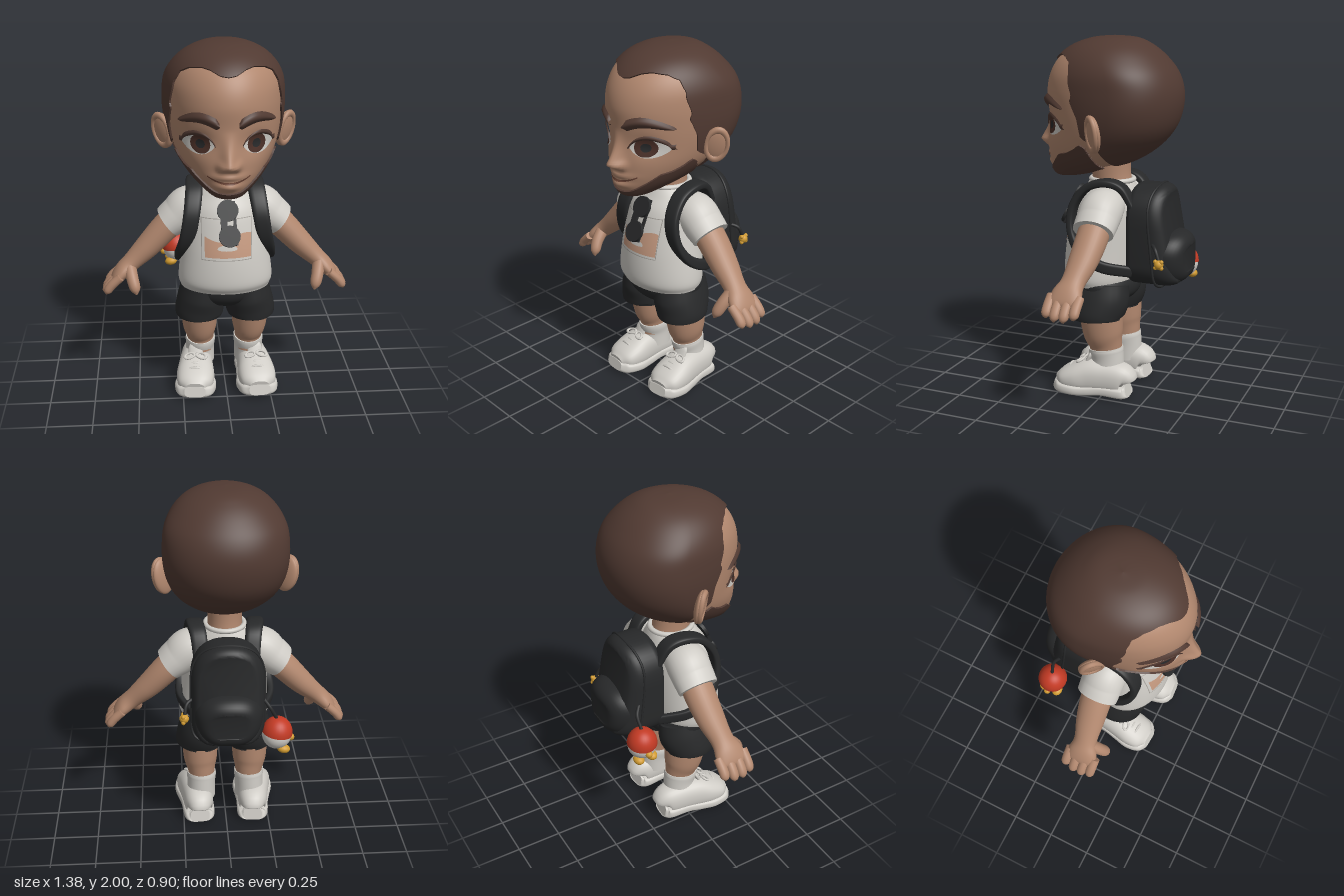
import * as THREE from 'three';
import { toCreasedNormals } from 'three/addons/utils/BufferGeometryUtils.js';

const V = (x, y, z) => new THREE.Vector3(x, y, z);
const mat = (name, color) => Object.assign(new THREE.MeshStandardMaterial({ color }), { name });
const M = {
  skin: mat('skin', 0xb1876e), hair: mat('hair', 0x513a32), white: mat('white cloth', 0xcfccc6),
  black: mat('black cloth', 0x272829), red: mat('red', 0xc23a24), gold: mat('gold', 0xd09a30),
  iris: mat('iris', 0x4a2f27), print: mat('shirt print', 0xc69a80), lip: mat('lip line', 0x6f4738), frame: mat('print frame', 0xa19d97),
};
const add = (parent, name, geo, material, x = 0, y = 0, z = 0) => {
  const m = new THREE.Mesh(geo, material);
  m.name = name;
  m.position.set(x, y, z);
  parent.add(m);
  return m;
};
const spline = pts => new THREE.CatmullRomCurve3(pts, false, 'catmullrom', 0.5);
const clamp = t => Math.min(1, Math.max(0, t));
const bell = (d, s) => Math.exp(-((d / s) ** 2));

// Piecewise linear lookup in pairs sorted by key
const lookup = (pairs, k) => {
  const i = pairs.findIndex(p => p[0] >= k);
  if (i === 0) return pairs[0][1];
  if (i < 0) return pairs[pairs.length - 1][1];
  const [a, b] = [pairs[i - 1], pairs[i]];
  return a[1] + (b[1] - a[1]) * (k - a[0]) / (b[0] - a[0]);
};

// Surface over a grid of points; closed joins the last column to the first
function grid(nu, nv, closed, point) {
  const cols = closed ? nu : nu + 1, pos = [], idx = [];
  for (let j = 0; j <= nv; j++) for (let i = 0; i < cols; i++) pos.push(...point(i, j).toArray());
  for (let j = 0; j < nv; j++) for (let i = 0; i < nu; i++) {
    const a = j * cols + i, b = j * cols + (i + 1) % cols;
    idx.push(a, b, b + cols, a, b + cols, a + cols);
  }
  const g = new THREE.BufferGeometry();
  g.setAttribute('position', new THREE.Float32BufferAttribute(pos, 3));
  g.setIndex(idx);
  g.computeVertexNormals();
  return g;
}

// Elliptical rings along a path, rows [x, y, z, radius across, radius along axis], capped
function sweep(rows, axis = V(0, 0, 1), nu = 28, pow = 1) {
  const path = spline(rows.map(r => V(r[0], r[1], r[2]))), rad = spline(rows.map(r => V(r[3], r[4], 0)));
  const n = rows.length * 6, p = c => Math.sign(c) * Math.abs(c) ** pow;
  return grid(nu, n + 4, true, (i, j) => {
    const t = clamp((j - 2) / n), c = path.getPoint(t), T = path.getTangent(t), r = rad.getPoint(t);
    if (j === 0 || j === n + 4) return c;
    const B = axis.clone().addScaledVector(T, -T.dot(axis)).normalize(), N = T.clone().cross(B);
    const a = i / nu * Math.PI * 2;
    return c.addScaledVector(B, Math.max(0, r.y) * p(Math.cos(a))).addScaledVector(N, Math.max(0, r.x) * p(Math.sin(a)));
  });
}

// Upright body from rows [y, half width, front z, back z, z of widest point]; z(x, y) gives its front
function column(rows, nu, n, bump = () => 0) {
  const A = spline(rows.map(r => V(r[0], r[1], 0))), D = spline(rows.map(r => V(r[2], r[3], r[4] ?? (r[2] + r[3]) / 2)));
  const at = (t, s, c) => {
    const a = A.getPoint(t), d = D.getPoint(t), x = Math.max(0, a.y) * s;
    return V(x, a.x, d.z + (c > 0 ? d.x - d.z + bump(x, a.x) : d.z - d.y) * c);
  };
  const geometry = grid(nu, n + 4, true, (i, j) => {
    const a = i / nu * Math.PI * 2, k = j === 0 || j === n + 4 ? 0 : 1;
    return at(clamp((j - 2) / n), Math.sin(a) * k, Math.cos(a) * k);
  });
  const z = (x, y) => {
    let lo = 0, hi = 1;
    for (let k = 0; k < 26; k++) { const m = (lo + hi) / 2; if (A.getPoint(m).x < y) lo = m; else hi = m; }
    const s = Math.max(-1, Math.min(1, x / A.getPoint(lo).y));
    return at(lo, s, Math.sqrt(1 - s * s)).z;
  };
  return { geometry, z };
}

// Thin piece lying on a column between two curves lo(x) and hi(x)
function patch(surf, side, x0, x1, lo, hi, off, bulge = 0, nu = 28, nv = 8) {
  return grid(nu, nv, false, (i, j) => {
    const x = x0 + (x1 - x0) * (side > 0 ? i : nu - i) / nu, v = j / nv, y = lo(x) + (hi(x) - lo(x)) * v;
    return V(x * side, y, surf.z(x * side, y) + off + bulge * Math.sin(Math.PI * v));
  });
}

// Cuts a surface along rule = 0; the positive part is raised by a thickness and gets a rim
function cut(geo, rule, thick) {
  const g = geo.toNonIndexed(), P = g.attributes.position, N = g.attributes.normal;
  return [1, -1].map(sign => {
    const pos = [], nor = [], put = (p, n) => { pos.push(...p.toArray()); nor.push(...n.toArray()); };
    const raise = q => sign > 0 ? q.p.clone().addScaledVector(q.n, thick) : q.p;
    for (let i = 0; i < P.count; i += 3) {
      const tri = [0, 1, 2].map(k => {
        const p = V().fromBufferAttribute(P, i + k);
        return { p, n: V().fromBufferAttribute(N, i + k), f: sign * rule(p) };
      });
      const poly = [];
      let out, back;
      tri.forEach((a, k) => {
        const b = tri[(k + 1) % 3], t = a.f / (a.f - b.f);
        if (a.f >= 0) poly.push(a);
        if (a.f * b.f >= 0) return;
        const q = { p: a.p.clone().lerp(b.p, t), n: a.n.clone().lerp(b.n, t) };
        poly.push(q);
        if (a.f > 0) out = q; else back = q;
      });
      for (let k = 1; k + 1 < poly.length; k++) for (const q of [poly[0], poly[k], poly[k + 1]]) put(raise(q), q.n);
      if (sign > 0 && out && back) {
        const n = back.p.clone().sub(out.p).cross(out.n).normalize();
        for (const p of [out.p, back.p, raise(back), out.p, raise(back), raise(out)]) put(p, n);
      }
    }
    const part = new THREE.BufferGeometry();
    part.setAttribute('position', new THREE.Float32BufferAttribute(pos, 3));
    part.setAttribute('normal', new THREE.Float32BufferAttribute(nor, 3));
    return part;
  });
}

function buildHead(root) {
  const noseY = y => y > 1.42 ? clamp((1.6 - y) / 0.18) ** 1.4 : THREE.MathUtils.smoothstep(y, 1.37, 1.42);
  const bump = (x, y) => 0.07 * noseY(y) * bell(x, 0.036)
    + 0.026 * bell(Math.abs(x) - 0.04, 0.022) * bell(y - 1.41, 0.025)
    + 0.016 * bell(x, 0.08) * bell(y - 1.352, 0.018) + 0.02 * bell(x, 0.06) * bell(y - 1.3, 0.022)
    - 0.022 * bell(Math.abs(x) - 0.15, 0.06) * bell(y - 1.53, 0.05);
  const head = column([[1.225, 0, 0.3, 0.3, 0.3], [1.237, 0.072, 0.345, 0.2, 0.27], [1.275, 0.132, 0.368, 0.05, 0.2],
    [1.334, 0.2, 0.377, -0.12, 0.11], [1.415, 0.262, 0.38, -0.245, 0.01], [1.509, 0.302, 0.372, -0.325, -0.06],
    [1.61, 0.322, 0.376, -0.362, -0.09], [1.711, 0.324, 0.382, -0.366, -0.09], [1.802, 0.311, 0.36, -0.336, -0.07],
    [1.88, 0.267, 0.31, -0.277, -0.03], [1.94, 0.2, 0.23, -0.205, -0.01], [1.978, 0.108, 0.12, -0.125, -0.005], [1.99, 0, 0, 0, 0]], 160, 96, bump);
  // Hairline seen from the front and side, and the beard edge seen from the side
  const frontLine = [[0, 1.858], [0.04, 1.864], [0.09, 1.888], [0.13, 1.896], [0.19, 1.887], [0.235, 1.862], [0.265, 1.81], [0.285, 1.72], [0.3, 1.62]];
  const sideLine = [[1.3, -0.04], [1.44, 0], [1.48, 0.08], [1.58, 0.095], [1.62, 0.115], [1.67, 0.14], [1.72, 0.11], [1.86, 0.108], [1.9, 0.15]];
  const beardLine = [[0, 1.2], [0.03, 1.3], [0.06, 1.42], [0.1, 1.44], [0.14, 1.41], [0.19, 1.385], [0.25, 1.37], [0.31, 1.31], [0.35, 1.268], [0.4, 1.25]];
  const [hair, skin] = cut(head.geometry, p => Math.max(p.y - lookup(frontLine, Math.abs(p.x)),
    lookup(sideLine, p.y) - p.z, lookup(beardLine, p.z) - p.y), 0.01);
  add(root, 'hairAndBeard', hair, M.hair);
  add(root, 'face', skin, M.skin);
  add(root, 'neck', sweep([[0, 1.12, 0, 0.1, 0.11], [0, 1.24, 0.02, 0.095, 0.11], [0, 1.38, 0.03, 0.1, 0.12]]), M.skin);

  const arch = x => Math.max(0, 1 - ((x - 0.155) / 0.082) ** 2);
  const lidTop = x => 1.515 + 0.053 * arch(x) ** 0.6, lidLow = x => 1.515 - 0.05 * arch(x) ** 0.8;
  const disc = (r, x) => Math.sqrt(Math.max(0, r * r - (x - 0.145) ** 2));
  const browMid = x => 1.625 + 0.034 * Math.sin(Math.PI * (x - 0.05) / 0.2);
  const browHalf = x => { const u = (x - 0.05) / 0.205; return 0.03 * Math.sqrt(Math.max(0, 1 - u ** 3)) * Math.min(1, 0.4 + u * 8); };
  for (const s of [1, -1]) {
    add(root, 'eyeWhite', patch(head, s, 0.073, 0.237, lidLow, lidTop, 0.005), M.white);
    for (const [name, r, off, m] of [['iris', 0.05, 0.008, M.iris], ['pupil', 0.023, 0.011, M.black]])
      add(root, name, patch(head, s, 0.145 - r, 0.145 + r, x => Math.max(lidLow(x), 1.52 - disc(r, x)),
        x => Math.min(lidTop(x), 1.52 + disc(r, x)), off), m);
    add(root, 'eyelash', patch(head, s, 0.07, 0.25, x => lidTop(x) - 0.006, x => lidTop(x) + 0.005 + 0.017 * clamp((x - 0.07) / 0.1), 0.008, 0.01), M.hair);
    add(root, 'eyebrow', patch(head, s, 0.05, 0.255, x => browMid(x) - browHalf(x), x => browMid(x) + browHalf(x), 0.003, 0.022), M.hair);
    // Ear: flat shell with a raised rim, its back edge flaring outward
    const ear = new THREE.Group();
    ear.name = 'ear';
    ear.position.set(s * 0.33, 1.507, -0.012);
    ear.rotation.set(0, -s * 0.78, -s * 0.2, 'ZYX');
    add(ear, 'earShell', new THREE.SphereGeometry(1, 28, 20), M.skin).scale.set(0.026, 0.1, 0.07);
    add(ear, 'earRim', new THREE.TorusGeometry(0.056, 0.013, 10, 36).rotateY(Math.PI / 2).scale(1.2, 1.5, 1), M.skin, s * 0.012, 0.004, 0);
    root.add(ear);
  }
  const smile = x => 1.322 + 2.8 * x * x;
  add(root, 'mouth', patch(head, 1, -0.112, 0.112, x => smile(x) - 0.006, x => smile(x) + 0.006 * (1 - (x / 0.12) ** 2), 0.005), M.lip);
}

function buildBody(root) {
  const shirt = column([[0.64, 0.25, 0.255, -0.12], [0.7, 0.262, 0.28, -0.13], [0.85, 0.245, 0.272, -0.14], [1, 0.225, 0.242, -0.145],
    [1.1, 0.205, 0.21, -0.14], [1.17, 0.16, 0.165, -0.12], [1.22, 0.108, 0.135, -0.1]], 64, 48);
  add(root, 'shirt', shirt.geometry, M.white);
  add(root, 'collar', new THREE.TorusGeometry(0.108, 0.014, 10, 40).rotateX(Math.PI / 2).scale(1, 1, 1.1), M.white, 0, 1.215, 0.015);
  // Printed picture with a thin frame
  const flat = v => () => v;
  for (const [x0, x1, y0, y1] of [[-0.14, 0.135, 0.846, 0.85], [-0.14, 0.135, 1.069, 1.073], [-0.14, -0.136, 0.846, 1.073], [0.131, 0.135, 0.846, 1.073]])
    add(root, 'printFrame', patch(shirt, 1, x0, x1, flat(y0), flat(y1), 0.004), M.frame);
  add(root, 'printPicture', patch(shirt, 1, -0.122, 0.13, flat(0.862), x => 0.972 + 0.022 * Math.sin(x * 22 - 0.6), 0.004), M.print);
  const puff = x => 0.022 * Math.sqrt(Math.max(0, 1 - (x / 0.055) ** 2));
  add(root, 'printCloud', patch(shirt, 1, -0.055, 0.055, x => 0.912 - puff(x) * 0.5, x => 0.912 + puff(x), 0.006), M.white);

  add(root, 'shortsHips', column([[0.505, 0.03, 0.08, 0], [0.53, 0.12, 0.165, -0.08], [0.575, 0.225, 0.215, -0.13], [0.635, 0.25, 0.232, -0.138], [0.69, 0.24, 0.22, -0.11]], 48, 30).geometry, M.black);
  for (const s of [1, -1]) {
    const limb = (name, rows, m, ...rest) => add(root, name, sweep(rows.map(r => [r[0] * s, ...r.slice(1)]), ...rest), m);
    limb('sleeve', [[0.08, 1.1, 0, 0.08, 0.1], [0.19, 1.075, 0, 0.115, 0.118], [0.26, 1.025, 0, 0.105, 0.118], [0.315, 0.982, 0, 0.093, 0.115]], M.white);
    limb('arm', [[0.22, 1.06, 0, 0.08, 0.085], [0.33, 0.95, 0, 0.078, 0.088], [0.43, 0.845, 0.01, 0.068, 0.08],
      [0.52, 0.76, 0.025, 0.052, 0.066], [0.575, 0.71, 0.034, 0.044, 0.084], [0.615, 0.665, 0.038, 0.03, 0.088], [0.625, 0.65, 0.038, 0.012, 0.07]], M.skin);
    for (const [z, len] of [[-0.038, 0.85], [0.014, 1], [0.066, 1], [0.116, 0.88]])
      limb('finger', [[0.585, 0.7, z, 0.024, 0.028], [0.59 + 0.05 * len, 0.695 - 0.045 * len, z, 0.025, 0.028],
        [0.59 + 0.08 * len, 0.695 - 0.085 * len, z, 0.022, 0.025], [0.59 + 0.088 * len, 0.695 - 0.107 * len, z, 0.004, 0.005]], M.skin, V(0, 0, 1), 14);
    limb('thumb', [[0.535, 0.745, 0.055, 0.036, 0.04], [0.52, 0.69, 0.112, 0.034, 0.034], [0.505, 0.64, 0.143, 0.029, 0.028], [0.497, 0.61, 0.156, 0.005, 0.005]], M.skin, V(0, 0, 1), 16);
    limb('shortsLeg', [[0.147, 0.45, 0.05, 0.132, 0.148], [0.146, 0.475, 0.05, 0.138, 0.155], [0.135, 0.55, 0.045, 0.132, 0.175], [0.12, 0.64, 0.045, 0.12, 0.17]], M.black);
    limb('leg', [[0.14, 0.2, 0, 0.075, 0.09], [0.14, 0.28, 0, 0.079, 0.095], [0.144, 0.36, 0.015, 0.098, 0.115], [0.146, 0.5, 0.03, 0.105, 0.13]], M.skin);
    limb('sock', [[0.145, 0.12, -0.01, 0.085, 0.1], [0.142, 0.2, -0.01, 0.082, 0.096], [0.14, 0.25, -0.003, 0.086, 0.101], [0.14, 0.272, 0, 0.084, 0.1]], M.white);

    // Trainer with sole, tongue and laces
    const shoe = new THREE.Group();
    shoe.name = 'shoe';
    shoe.position.x = s * 0.165;
    shoe.rotation.y = s * 0.07;
    const up = V(0, 1, 0);
    add(shoe, 'shoeUpper', sweep([[0, 0.085, -0.127, 0.05, 0.055], [0, 0.1, -0.108, 0.08, 0.09], [0, 0.106, 0, 0.092, 0.1], [0, 0.104, 0.08, 0.1, 0.1],
      [0, 0.09, 0.16, 0.108, 0.083], [0, 0.075, 0.23, 0.096, 0.06], [0, 0.068, 0.27, 0.055, 0.035]], up, 32, 0.85), M.white);
    add(shoe, 'sole', sweep([[0, 0.042, -0.142, 0.055, 0.036], [0, 0.036, -0.115, 0.088, 0.036], [0, 0.042, 0, 0.095, 0.034], [0, 0.035, 0.09, 0.107, 0.035],
      [0, 0.036, 0.17, 0.119, 0.036], [0, 0.043, 0.25, 0.103, 0.036], [0, 0.052, 0.284, 0.06, 0.03]], up, 32, 0.6), M.white);
    add(shoe, 'tongue', new THREE.CapsuleGeometry(0.042, 0.05, 6, 14).scale(1, 1, 0.35), M.white, 0, 0.198, 0.09).rotation.x = -0.45;
    for (let i = 0; i < 4; i++) {
      const z = 0.09 + 0.033 * i, y = 0.2 - 0.36 * (z - 0.075);
      add(shoe, 'lace', new THREE.TubeGeometry(new THREE.QuadraticBezierCurve3(V(-0.066, y - 0.035, z), V(0, y + 0.04, z + 0.012), V(0.066, y - 0.035, z)), 14, 0.008, 8), M.white);
    }
    for (const k of [1, -1])
      add(shoe, 'laceBow', new THREE.TorusGeometry(0.022, 0.007, 8, 20).scale(1.3, 0.8, 1), M.white, k * 0.033, 0.2, 0.128).rotation.set(-1.1, 0, -k * 0.4);
    root.add(shoe);

    // Shoulder strap over the shoulder and back under the arm
    limb('backpackStrap', [[0.14, 1.1, -0.16, 0.018, 0.042], [0.15, 1.195, -0.1, 0.022, 0.045], [0.165, 1.222, -0.01, 0.022, 0.047], [0.172, 1.185, 0.1, 0.022, 0.047],
      [0.188, 1.08, 0.17, 0.022, 0.045], [0.212, 0.95, 0.168, 0.022, 0.042], [0.25, 0.84, 0.1, 0.028, 0.028], [0.256, 0.775, -0.02, 0.032, 0.018], [0.18, 0.74, -0.17, 0.03, 0.016]], M.black, V(1, 0, 0), 24, 0.6);
  }

  // Folded sunglasses hanging from the collar, lenses stacked
  const glasses = new THREE.Group();
  glasses.name = 'sunglasses';
  glasses.position.set(0.007, 1.055, 0.25);
  glasses.rotation.set(-0.48, 0, 0.05);
  for (const k of [1, -1])
    add(glasses, 'lens', new THREE.CylinderGeometry(0.058, 0.058, 0.018, 28).rotateX(Math.PI / 2), M.black, 0, k * 0.07, 0);
  add(glasses, 'bridge', new THREE.BoxGeometry(0.035, 0.06, 0.016), M.black, -0.025, 0, 0);
  add(glasses, 'templeArm', new THREE.BoxGeometry(0.016, 0.24, 0.01), M.black, 0.035, 0, -0.014);
  root.add(glasses);
}

function buildBackpack(root) {
  const pack = new THREE.Group();
  pack.name = 'backpack';
  const arch = (w, b, t) => {
    const s = new THREE.Shape(), k = (t - b) * 0.4;
    s.moveTo(-w + 0.07, b); s.lineTo(w - 0.07, b);
    s.quadraticCurveTo(w, b, w, b + 0.08); s.lineTo(w, t - k);
    s.bezierCurveTo(w, t - k * 0.35, w * 0.7, t, 0, t);
    s.bezierCurveTo(-w * 0.7, t, -w, t - k * 0.35, -w, t - k);
    s.lineTo(-w, b + 0.08); s.quadraticCurveTo(-w, b, -w + 0.07, b);
    return s;
  };
  // The back deepens towards the bottom and rounds off towards the sides
  const bend = (x, y, z, deepen) => z + clamp((-z - 0.13) / 0.2) * 1.3 * x * x - Math.max(0, -z - 0.2) * (1.2 - y) * deepen;
  const block = (w, b, t, depth, bevel, z, deepen) => {
    const g = new THREE.ExtrudeGeometry(arch(w, b, t), { depth, bevelThickness: bevel, bevelSize: bevel * 0.8, bevelSegments: 8, curveSegments: 14 }).translate(0, 0, z);
    const p = g.attributes.position;
    for (let i = 0; i < p.count; i++) p.setZ(i, bend(p.getX(i), p.getY(i), p.getZ(i), deepen));
    return toCreasedNormals(g, 0.8);
  };
  add(pack, 'packBody', block(0.16, 0.705, 1.172, 0.11, 0.05, -0.29, 1.3), M.black);
  add(pack, 'packPocket', block(0.115, 0.74, 0.885, 0.05, 0.09, -0.365, 0), M.black);
  const piping = arch(0.2, 0.665, 1.212).getPoints(12).slice(0, -1).map(p => V(p.x, p.y, bend(p.x, p.y, -0.285, 1.3)));
  add(pack, 'piping', new THREE.TubeGeometry(new THREE.CatmullRomCurve3(piping, true), 90, 0.007, 8, true), M.black);
  const cord = (...pts) => new THREE.TubeGeometry(spline(pts), 14, 0.01, 8);

  // Small gold charm on the left side
  add(pack, 'charmCord', cord(V(0.19, 0.91, -0.29), V(0.225, 0.89, -0.32), V(0.238, 0.83, -0.345)), M.black);
  add(pack, 'goldCharm', new THREE.SphereGeometry(0.026, 14, 10), M.gold, 0.24, 0.818, -0.345);
  for (let i = 0; i < 4; i++) {
    const a = i * Math.PI / 2 + Math.PI / 4;
    add(pack, 'goldCharmKnob', new THREE.SphereGeometry(0.012, 10, 8), M.gold, 0.245, 0.818 + 0.024 * Math.sin(a), -0.345 + 0.024 * Math.cos(a));
  }

  // Round toy hanging on the right side: red cap, white body, gold beak and feet
  const toy = new THREE.Group();
  toy.name = 'hangingToy';
  toy.position.set(-0.265, 0.705, -0.325);
  toy.rotation.z = 0.15;
  add(toy, 'toyCap', new THREE.SphereGeometry(0.084, 28, 14, 0, Math.PI * 2, 0, Math.PI / 2).scale(1, 1.1, 1), M.red);
  add(toy, 'toyBody', new THREE.SphereGeometry(0.08, 28, 20), M.white, 0, -0.012, 0);
  add(toy, 'toyBeak', new THREE.SphereGeometry(0.02, 14, 10), M.gold, -0.08, -0.02, 0);
  for (const k of [1, -1]) add(toy, 'toyFoot', new THREE.SphereGeometry(0.03, 16, 12).scale(1.2, 0.8, 1), M.gold, -0.045, -0.075, k * 0.04);
  pack.add(toy);
  add(pack, 'toyCord', cord(V(-0.19, 0.9, -0.3), V(-0.225, 0.86, -0.33), V(-0.262, 0.79, -0.325)), M.black);
  root.add(pack);
}

export function createModel() {
  const root = new THREE.Group();
  root.name = 'travellerFigure';
  buildHead(root);
  buildBody(root);
  buildBackpack(root);
  return root;
}
